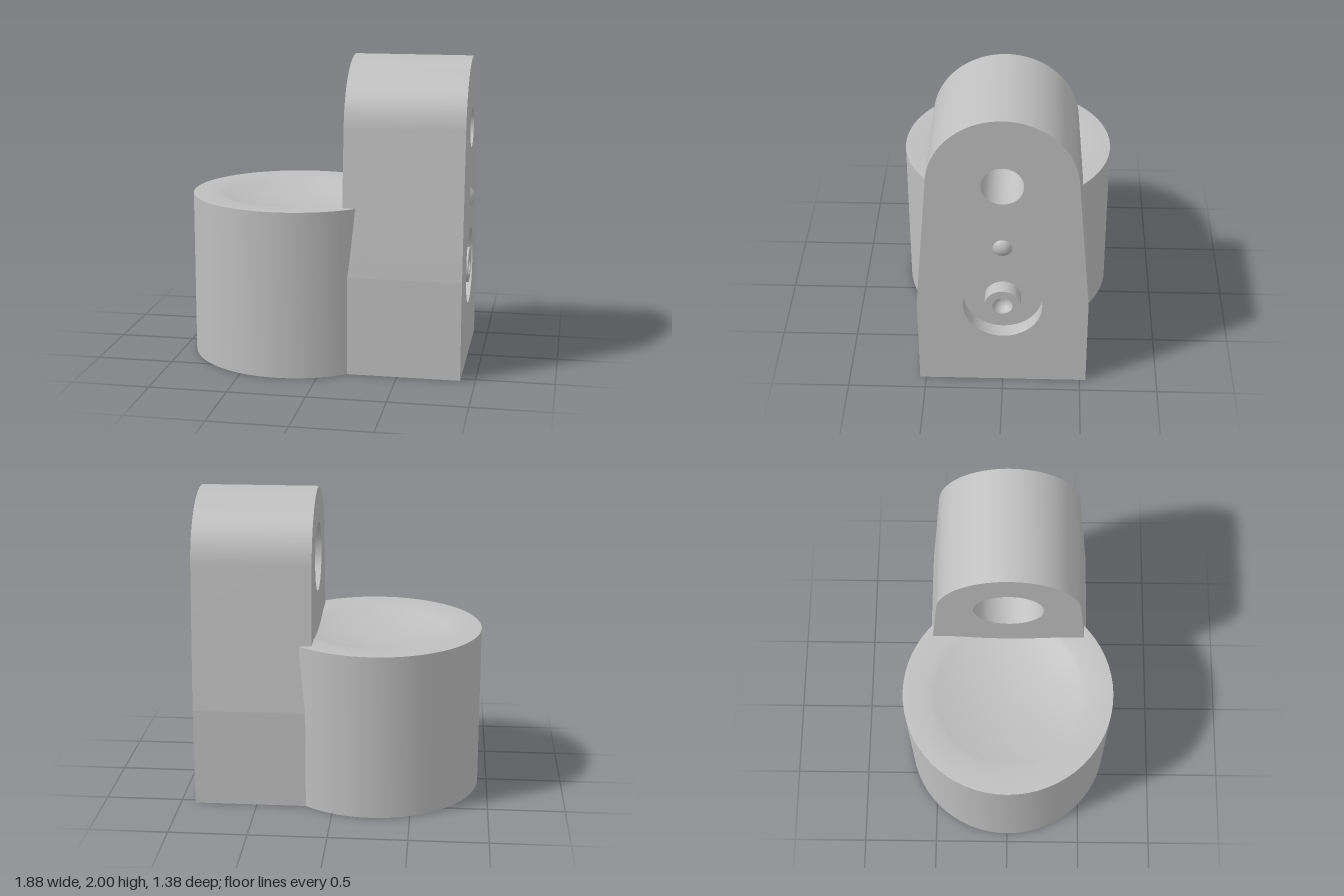
import * as THREE from 'three';
import { toCreasedNormals } from 'three/addons/utils/BufferGeometryUtils.js';

const X0 = 0.14, X1 = 0.905; // inner and outer faces of the upright
const BORE_Y = 1.54, POCKET_Y = 0.62, BUMP_Y = 1.08;

const greyMetal = new THREE.MeshStandardMaterial({ color: 0xbfbfbf });
greyMetal.name = 'grey metal';

// Upright outline: straight foot, tapering sides and a round head
function outline() {
  const s = new THREE.Shape();
  const R = 0.46, a0 = 0.086, n = 64;
  s.moveTo(-0.54, 0);
  s.lineTo(0.54, 0);
  s.lineTo(0.54, 0.64);
  for (let i = 0; i <= n; i++) {
    const a = a0 + (Math.PI - 2 * a0) * i / n;
    s.lineTo(R * Math.cos(a), BORE_Y + R * Math.sin(a));
  }
  s.lineTo(-0.54, 0.64);
  s.closePath();
  return s;
}

function circle(y, r, n = 64) {
  const pts = [];
  for (let i = 0; i < n; i++) {
    const a = -2 * Math.PI * i / n;
    pts.push(new THREE.Vector2(r * Math.cos(a), y + r * Math.sin(a)));
  }
  return new THREE.Path(pts);
}

// Turned surface from [radius, height] pairs
function turned(points) {
  const g = new THREE.LatheGeometry(points.map(p => new THREE.Vector2(p[0], p[1])), 64);
  return toCreasedNormals(g, 0.5);
}

// Turned surface lying along x at the given height
const turnedX = (points, y) => turned(points).rotateZ(-Math.PI / 2).translate(0, y, 0);

export function createModel() {
  const model = new THREE.Group();
  model.name = 'bracket';
  const add = (name, geometry) => {
    const mesh = new THREE.Mesh(geometry, greyMetal);
    mesh.name = name;
    model.add(mesh);
  };

  // Outer walls of the upright, without its end caps
  const solid = new THREE.ExtrudeGeometry(outline(), { depth: X1 - X0, bevelEnabled: false });
  const side = solid.groups[1];
  const wall = new THREE.BufferGeometry();
  wall.setAttribute('position', new THREE.BufferAttribute(
    solid.attributes.position.array.slice(side.start * 3, (side.start + side.count) * 3), 3));
  wall.rotateY(Math.PI / 2).translate(X0, 0, 0);
  add('uprightWalls', toCreasedNormals(wall, 0.075));

  // End faces with their openings
  const outer = outline();
  outer.holes.push(circle(BORE_Y, 0.13), circle(POCKET_Y, 0.25));
  add('uprightOuterFace', new THREE.ShapeGeometry(outer).rotateY(Math.PI / 2).translate(X1, 0, 0));
  const inner = outline();
  inner.holes.push(circle(BORE_Y, 0.225));
  add('uprightInnerFace', new THREE.ShapeGeometry(inner).rotateY(-Math.PI / 2).translate(X0, 0, 0));

  // Stepped through bore
  add('steppedBore', turnedX([[0.13, X1], [0.13, 0.37], [0.225, 0.37], [0.225, X0]], BORE_Y));

  // Round pocket with a central boss and a rounded dimple
  const pocket = [[0.25, X1], [0.25, 0.805], [0.115, 0.805], [0.115, X1]];
  for (let i = 0; i <= 10; i++) {
    const a = Math.PI / 2 * i / 10;
    pocket.push([0.063 * Math.cos(a), X1 - 0.063 * Math.sin(a)]);
  }
  add('pocketAndBoss', turnedX(pocket, POCKET_Y));

  // Small domed locating bump
  const bump = [];
  for (let i = 0; i <= 10; i++) {
    const a = Math.asin(0.8) * (1 - i / 10);
    bump.push([0.075 * Math.sin(a), 0.86 + 0.075 * Math.cos(a)]);
  }
  add('locatingBump', turnedX(bump, BUMP_Y));

  // Round base with a chamfered hole below and a shallow dish on top
  const base = [[0, 0.5], [0.165, 0.5], [0.165, 0.03], [0.186, 0], [0.69, 0], [0.69, 1.08]];
  for (let i = 12; i >= 0; i--) {
    const t = i / 12;
    base.push([0.52 * t, 1.01 + 0.07 * t * t]);
  }
  add('dishedBase', turned(base).translate(-0.25, 0, 0));

  return model;
}
